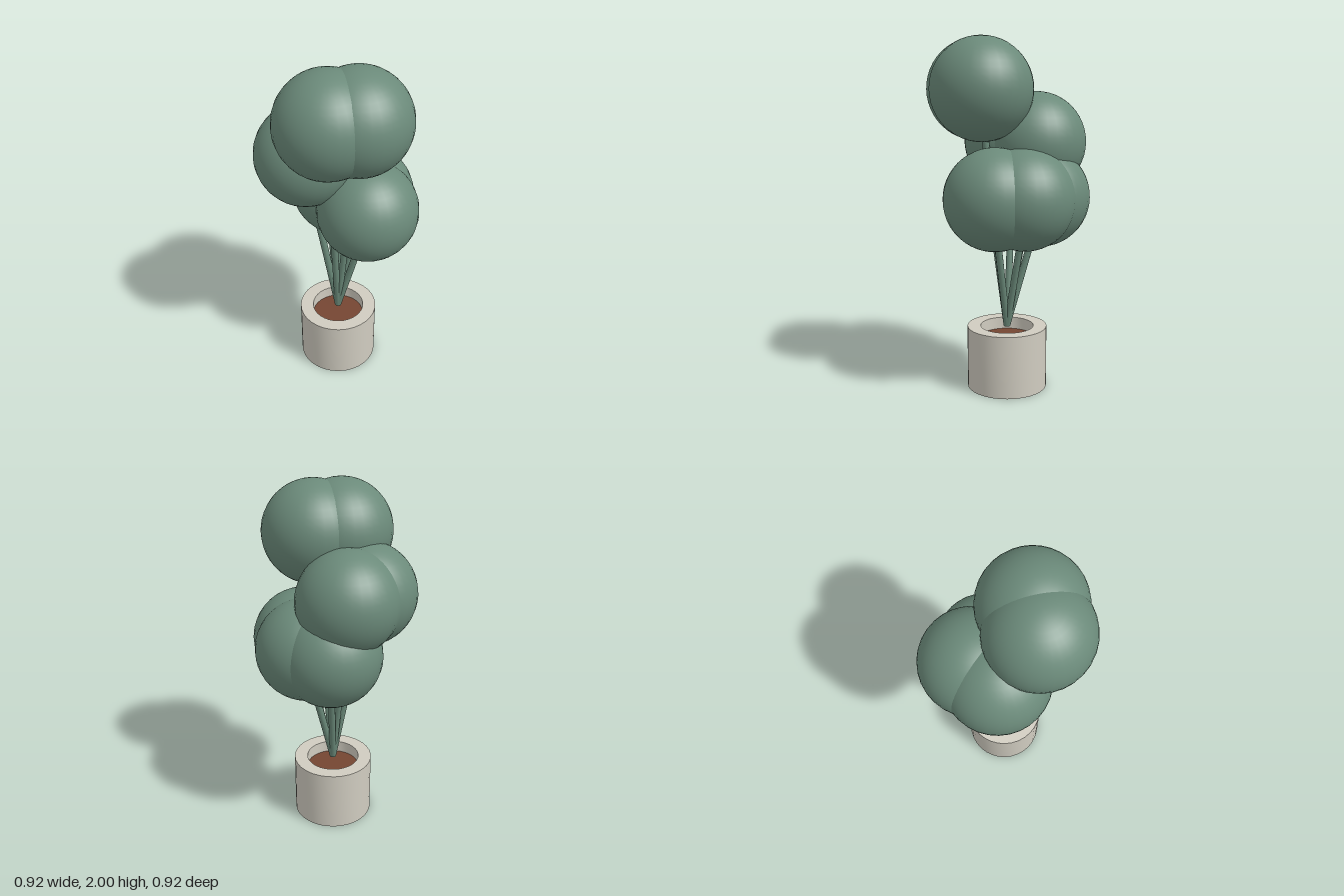
import * as THREE from 'three';
import { toCreasedNormals } from 'three/addons/utils/BufferGeometryUtils.js';

const mat = (name, color) => {
  const m = new THREE.MeshStandardMaterial({ color });
  m.name = name;
  return m;
};

export function createModel() {
  const foliage = mat('foliage green', 0x6b8a7a);
  const clay = mat('pale pot', 0xd0ccc0);
  const earth = mat('soil brown', 0x754632);

  const model = new THREE.Group();
  model.name = 'pottedTopiary';
  const add = (name, geometry, material, parent = model) => {
    const mesh = new THREE.Mesh(geometry, material);
    mesh.name = name;
    parent.add(mesh);
    return mesh;
  };

  // Pot: thick-walled, with a closed base
  const profile = [[0, 0], [0.23, 0], [0.23, 0.36], [0.153, 0.36], [0.153, 0.27]]
    .map(([r, y]) => new THREE.Vector2(r, y));
  add('pot', toCreasedNormals(new THREE.LatheGeometry(profile, 32), 0.6), clay);

  // Soil disc inside the pot
  const soil = add('soil', new THREE.CylinderGeometry(0.153, 0.153, 0.02, 32), earth);
  soil.position.y = 0.28;

  // Leaf ball centres, in three tiers
  const centres = [
    [0.175, 1.12, 0], [0.1, 1.12, -0.145], [-0.05, 1.12, -0.175],
    [-0.13, 1.42, -0.125], [-0.175, 1.42, 0.03],
    [0.013, 1.715, 0.175], [0.145, 1.715, 0.09],
  ];
  const ball = new THREE.SphereGeometry(0.285, 32, 24);
  const root = new THREE.Vector3(0, 0.36, 0);
  const up = new THREE.Vector3(0, 1, 0);

  centres.forEach(([x, y, z], i) => {
    const branch = new THREE.Group();
    branch.name = `branch${i + 1}`;
    model.add(branch);

    add('leafBall', ball, foliage, branch).position.set(x, y, z);

    // Stem fans out from the pot into its leaf ball
    const dir = new THREE.Vector3(x, y - 0.1, z).sub(root);
    const length = dir.length();
    const stem = add('stem', new THREE.CylinderGeometry(0.02, 0.02, length, 12), foliage, branch);
    stem.position.copy(root).addScaledVector(dir, 0.5);
    stem.quaternion.setFromUnitVectors(up, dir.normalize());
  });

  return model;
}
